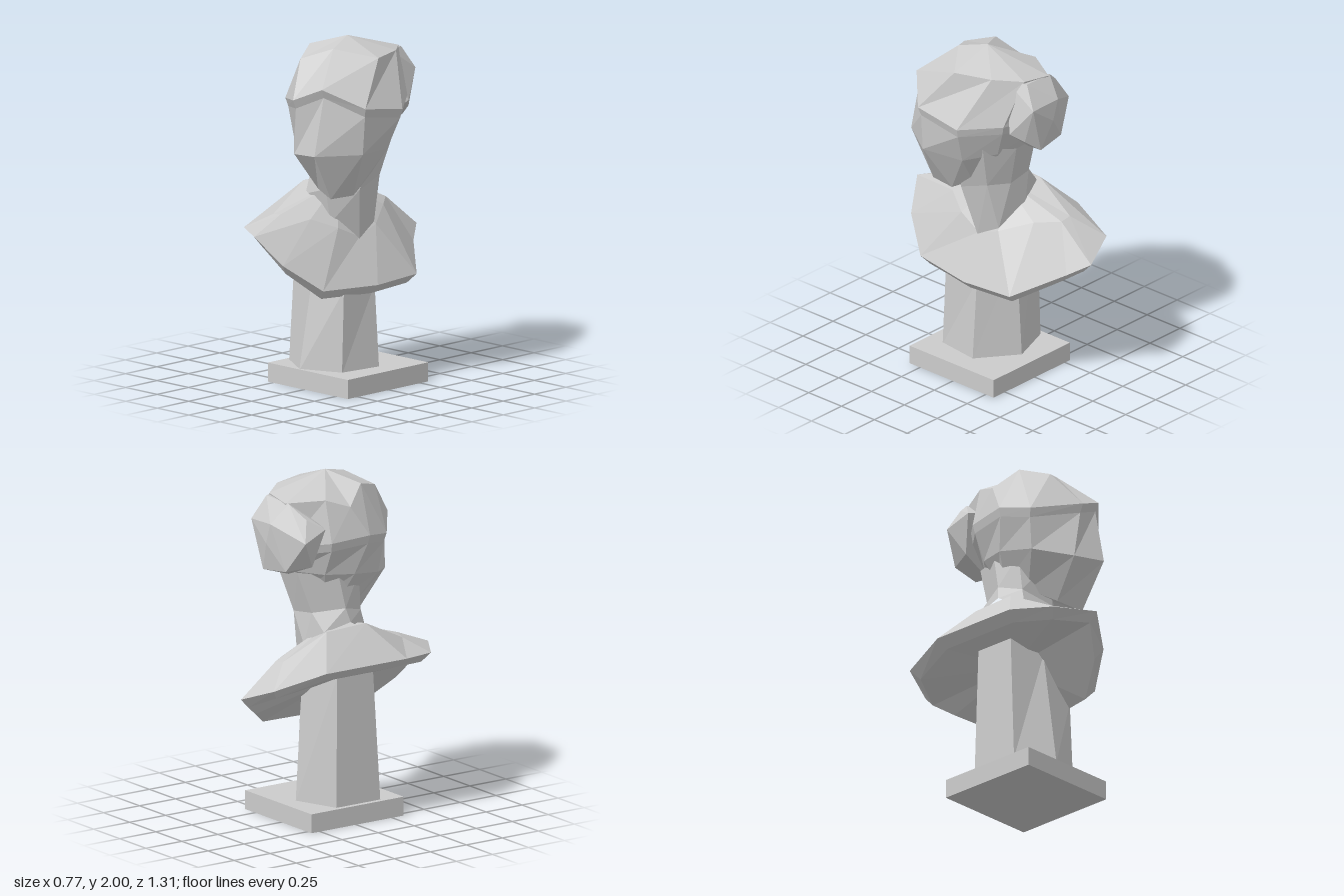
import * as THREE from 'three';
import { ConvexGeometry } from 'three/addons/geometries/ConvexGeometry.js';

const material = new THREE.MeshStandardMaterial({ color: 0xcccccc, flatShading: true });

function part(name, geometry) {
  const mesh = new THREE.Mesh(geometry, material);
  mesh.name = name;
  return mesh;
}

// Skins rings of [x, y, z] points, listed bottom to top and counter-clockwise
// from above. A ring of one point is a pole that closes the skin.
function loft(rings) {
  const n = Math.max(...rings.map((r) => r.length));
  const at = (ring, i) => ring[i % ring.length];
  const positions = [];
  for (let k = 0; k < rings.length - 1; k++) {
    const low = rings[k], high = rings[k + 1];
    for (let i = 0; i < n; i++) {
      const a = at(low, i), b = at(low, (i + 1) % n);
      const c = at(high, (i + 1) % n), d = at(high, i);
      if (a !== b) positions.push(...a, ...b, ...c);
      if (c !== d) positions.push(...a, ...c, ...d);
    }
  }
  const geometry = new THREE.BufferGeometry();
  geometry.setAttribute('position', new THREE.Float32BufferAttribute(positions, 3));
  geometry.computeVertexNormals();
  return geometry;
}

export function createModel() {
  const model = new THREE.Group();
  model.name = 'bust';

  // Square plinth
  const plinth = part('plinth', new THREE.BoxGeometry(0.635, 0.11, 0.64));
  plinth.position.set(0.028, 0.055, 0.01);
  model.add(plinth);

  // Six-sided pedestal, cut at a slant under the chest
  model.add(part('pedestal', loft([
    [[0, 0.1, 0]],
    [[0.225, 0.1, -0.04], [0, 0.1, -0.21], [-0.26, 0.1, -0.115],
      [-0.26, 0.1, 0.19], [-0.05, 0.1, 0.32], [0.19, 0.1, 0.22]],
    [[0.19, 0.58, -0.04], [0, 0.74, -0.17], [-0.245, 0.86, -0.1],
      [-0.245, 0.86, 0.15], [-0.03, 0.81, 0.2], [0.185, 0.58, 0.2]],
    [[0, 0.76, 0]],
  ])));

  // Shoulders: a slanted rim, its bevelled underside and the slope up to the neck
  const rim = [
    [0.255, 0.59, 0], [0.235, 0.6, -0.33], [-0.005, 0.72, -0.545], [-0.09, 0.79, -0.655],
    [-0.3, 0.87, -0.58], [-0.39, 0.945, -0.28], [-0.39, 0.945, 0.28], [-0.29, 0.92, 0.52],
    [-0.075, 0.92, 0.655], [0.07, 0.76, 0.57], [0.2, 0.605, 0.38],
  ];
  const underside = rim.map(([x, y, z]) => [-0.07 + (x + 0.07) * 0.83, y - 0.055, z * 0.92]);
  const slope = [
    [0.12, 0.85, 0.01], [0.11, 0.9, -0.13], [0, 0.97, -0.3], [-0.1, 0.98, -0.42],
    [-0.17, 0.99, -0.42], [-0.215, 1.13, -0.15], [-0.215, 1.14, 0.12], [-0.165, 1.0, 0.41],
    [-0.09, 1.01, 0.43], [0.02, 0.98, 0.3], [0.1, 0.92, 0.16],
  ];
  model.add(part('shoulders', loft([
    [[-0.06, 0.79, 0]], underside, rim, slope, [[-0.06, 1.14, 0]],
  ])));

  // Neck, coming to a point at the collar and spreading behind the jaw
  model.add(part('neck', loft([
    [[0.125, 0.84, 0.015], [0.1, 0.91, -0.125], [-0.05, 1.03, -0.19], [-0.19, 1.12, -0.15],
      [-0.21, 1.16, 0.02], [-0.15, 1.08, 0.17], [0.04, 0.94, 0.16]],
    [[0.19, 1.14, 0.08], [0.17, 1.2, -0.1], [0.06, 1.2, -0.18], [-0.1, 1.22, -0.17],
      [-0.19, 1.24, 0], [-0.14, 1.2, 0.14], [0.04, 1.14, 0.2]],
    [[0.26, 1.42, 0.02], [0.25, 1.47, -0.14], [0.1, 1.46, -0.26], [-0.07, 1.46, -0.25],
      [-0.18, 1.43, -0.04], [-0.15, 1.42, 0.12], [0.02, 1.42, 0.22]],
  ])));

  // Head, turned to its side: jaw, cheeks, face under the hairline, hairline and
  // crown, each starting mid-face
  const jaw = [
    [0.18, 1.12, 0.3], [0.2, 1.12, 0.14], [0.18, 1.2, 0], [0.1, 1.28, -0.12],
    [0, 1.32, -0.14], [-0.1, 1.32, -0.08], [-0.13, 1.28, 0], [-0.08, 1.22, 0.13], [0.03, 1.15, 0.25],
  ];
  const cheeks = [
    [0.2, 1.39, 0.45], [0.355, 1.39, 0.22], [0.3, 1.38, -0.03], [0.18, 1.43, -0.19],
    [-0.03, 1.46, -0.25], [-0.17, 1.45, -0.13], [-0.22, 1.44, 0.04], [-0.17, 1.41, 0.24], [0, 1.37, 0.41],
  ];
  const hairline = [
    [0.21, 1.77, 0.4], [0.385, 1.66, 0.23], [0.385, 1.615, -0.065], [0.22, 1.64, -0.27],
    [-0.08, 1.62, -0.34], [-0.25, 1.65, -0.14], [-0.285, 1.67, 0.1], [-0.21, 1.64, 0.27], [0.03, 1.69, 0.45],
  ];
  const faceTop = hairline.map(([x, y, z]) => [0.04 + (x - 0.04) * 0.96, y - 0.05, z * 0.95]);
  const crown = [
    [0.09, 1.955, 0.19], [0.295, 1.91, 0.035], [0.22, 1.91, -0.18], [0.1, 1.9, -0.32],
    [-0.08, 1.88, -0.34], [-0.19, 1.89, -0.14], [-0.235, 1.84, 0], [-0.155, 1.94, 0.13], [-0.07, 1.89, 0.29],
  ];
  model.add(part('head', loft([
    [[0.06, 1.24, 0.08]], jaw, cheeks, faceTop, hairline, crown, [[0.035, 2, 0.02]],
  ])));

  // Knot of hair at the back
  const knot = [
    [0.135, 1.76, -0.42], [-0.06, 1.77, -0.43], [0.1, 1.89, -0.34], [-0.1, 1.88, -0.33],
    [-0.26, 1.68, -0.33], [-0.2, 1.8, -0.28], [-0.14, 1.5, -0.38], [0.05, 1.48, -0.4],
    [0.14, 1.55, -0.36], [0.14, 1.89, -0.22], [-0.2, 1.52, -0.24], [0, 1.44, -0.26],
    [0.2, 1.6, -0.3], [-0.02, 1.65, -0.43], [-0.245, 1.74, -0.18],
  ].map((p) => new THREE.Vector3(...p));
  model.add(part('hairKnot', new ConvexGeometry(knot)));

  return model;
}
